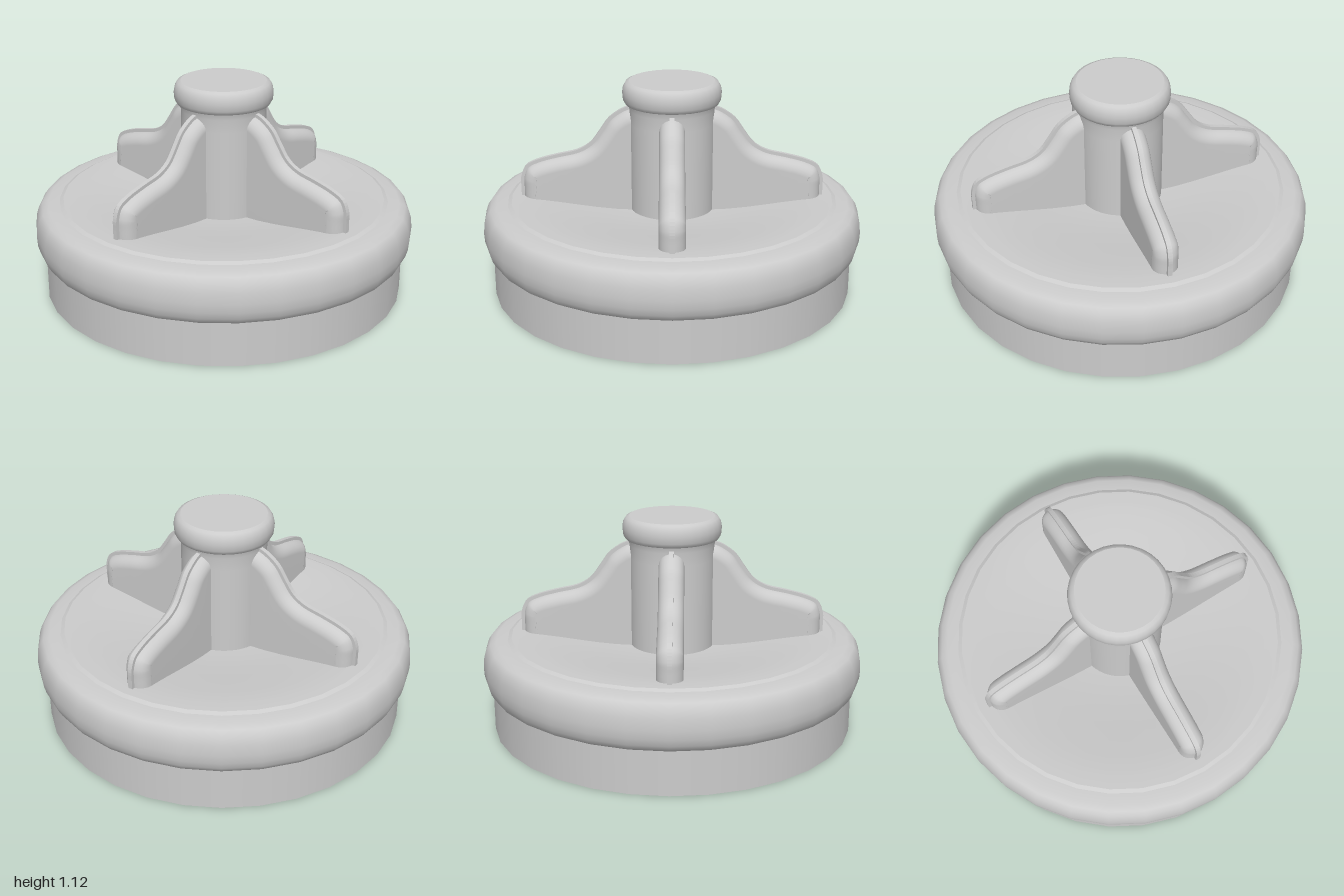
import * as THREE from 'three';
import { mergeGeometries, mergeVertices } from 'three/addons/utils/BufferGeometryUtils.js';

const SIDES = 32, HUB = 0.222, HALF = 0.065, TIP = 0.78, GAP = 0.02;
const material = new THREE.MeshStandardMaterial({ color: 0xcccccc, side: THREE.DoubleSide });
const vec = (p) => p.map(([x, y]) => new THREE.Vector2(x, y));

function add(parent, name, geometry) {
  const mesh = new THREE.Mesh(geometry, material);
  mesh.name = name;
  parent.add(mesh);
  return mesh;
}
const lathe = (points) => new THREE.LatheGeometry(vec(points), SIDES);

// Height of the shallow dish at radius r
const dishY = (r) => 0.43 + 0.065 * THREE.MathUtils.smoothstep(r, 0.2, 0.85);

// Half width of the hollow below each fin, with a rounded outer end
function slotHalf(r) {
  const d = Math.max(0, (r - (TIP - HALF)) / HALF);
  return d >= 1 ? 0 : HALF * Math.sqrt(1 - d * d);
}

// Surface through a grid of points: rows of [x, y, z]
function gridSurface(rows) {
  const n = rows[0].length, index = [];
  for (let i = 0; i < rows.length - 1; i++)
    for (let j = 0; j < n - 1; j++) {
      const a = i * n + j, b = a + n;
      index.push(a, b, a + 1, b, b + 1, a + 1);
    }
  const g = new THREE.BufferGeometry();
  g.setAttribute('position', new THREE.Float32BufferAttribute(rows.flat(2), 3));
  g.setIndex(index);
  return g;
}

// Dish in four quadrants, leaving the fin slots and the hub open
function dishGeometry() {
  const radii = [0.22, 0.3, 0.4, 0.5, 0.6, 0.68, 0.715, 0.74, 0.76, 0.772, TIP, 0.82, 0.85];
  const rows = radii.map((r) => {
    const start = Math.asin(slotHalf(r) / r);
    return Array.from({ length: 9 }, (_, j) => {
      const a = start + (Math.PI / 2 - 2 * start) * j / 8;
      return [r * Math.cos(a), dishY(r), r * Math.sin(a)];
    });
  });
  const quadrant = gridSurface(rows);
  const all = [0, 1, 2, 3].map((k) => quadrant.clone().rotateY(k * Math.PI / 2));
  const g = mergeVertices(mergeGeometries(all), 1e-4);
  g.computeVertexNormals();
  return g;
}

// Fin outline from the top of the hub to the outer foot
const outline = new THREE.SplineCurve(vec([
  [0.2, 0.99], [0.26, 0.97], [0.33, 0.92], [0.38, 0.85], [0.43, 0.785], [0.5, 0.745],
  [0.6, 0.722], [0.7, 0.695], [0.77, 0.66], [0.798, 0.6], [0.8, 0.54], [0.8, 0.48],
]));

// Hollow fin body: a rounded back with straight sides down to the dish
function finBody() {
  const steps = 44, rows = [];
  for (let i = 0; i <= steps; i++) {
    const p = outline.getPoint(i / steps), t = outline.getTangent(i / steps);
    const arch = [];
    for (let k = -6; k <= 6; k++) {
      const a = k * Math.PI / 12;
      const inset = GAP * 0.8 + HALF * (1 - Math.cos(a));
      const x = Math.max(0.2, p.x + t.y * inset);
      const y = p.y - t.x * inset;
      arch.push([x, Math.max(y, dishY(x)), HALF * Math.sin(a)]);
    }
    const foot = ([x, , z]) => [x, dishY(x), z];
    rows.push([foot(arch[0]), ...arch, foot(arch[12])]);
  }
  const g = gridSurface(rows);
  g.computeVertexNormals();
  return g;
}

// Thin rib running along the middle of the fin
function finRib() {
  const foot = [0.7, 0.6, 0.5, 0.4, 0.3, 0.2].map((x) => new THREE.Vector2(x, dishY(x)));
  const shape = new THREE.Shape([...outline.getPoints(44), ...foot]);
  const g = new THREE.ExtrudeGeometry(shape, { depth: 0.024, bevelEnabled: false });
  return g.translate(0, 0, -0.012);
}

export function createModel() {
  const model = new THREE.Group();
  model.name = 'finnedCap';

  // Open skirt and bulging rim
  add(model, 'skirt', lathe([[0.955, 0], [0.955, 0.23]]));
  add(model, 'rim', lathe([
    [0.955, 0.228], [0.972, 0.238], [0.987, 0.265], [0.997, 0.3], [1, 0.345], [0.995, 0.4],
    [0.982, 0.44], [0.962, 0.468], [0.93, 0.481], [0.87, 0.485],
  ]));
  add(model, 'rimStep', lathe([[0.87, 0.485], [0.85, 0.495]]));
  add(model, 'dish', dishGeometry());

  // Hub: upper band, rounded knob and flat top
  add(model, 'hubBand', lathe([[HUB, 0.9], [HUB, 0.97], [0.23, 1]]));
  add(model, 'knob', lathe([
    [0.23, 1], [0.243, 1.004], [0.255, 1.025], [0.258, 1.06], [0.253, 1.09],
    [0.24, 1.112], [0.222, 1.12],
  ]));
  add(model, 'knobTop', new THREE.CircleGeometry(0.222, SIDES).rotateX(-Math.PI / 2))
    .position.y = 1.12;

  // Hub walls between the fins, and the four fins
  const body = finBody(), rib = finRib();
  const open = Math.asin((HALF - 0.002) / HUB);
  const wall = new THREE.CylinderGeometry(HUB, HUB, 0.48, 8, 1, true, open, Math.PI / 2 - 2 * open);
  wall.translate(0, 0.665, 0);
  for (let k = 0; k < 4; k++) {
    const angle = k * Math.PI / 2;
    add(model, 'hubWall', wall).rotation.y = angle;
    const fin = new THREE.Group();
    fin.name = 'fin';
    add(fin, 'finBody', body);
    add(fin, 'finRib', rib);
    fin.rotation.y = angle;
    model.add(fin);
  }
  return model;
}
